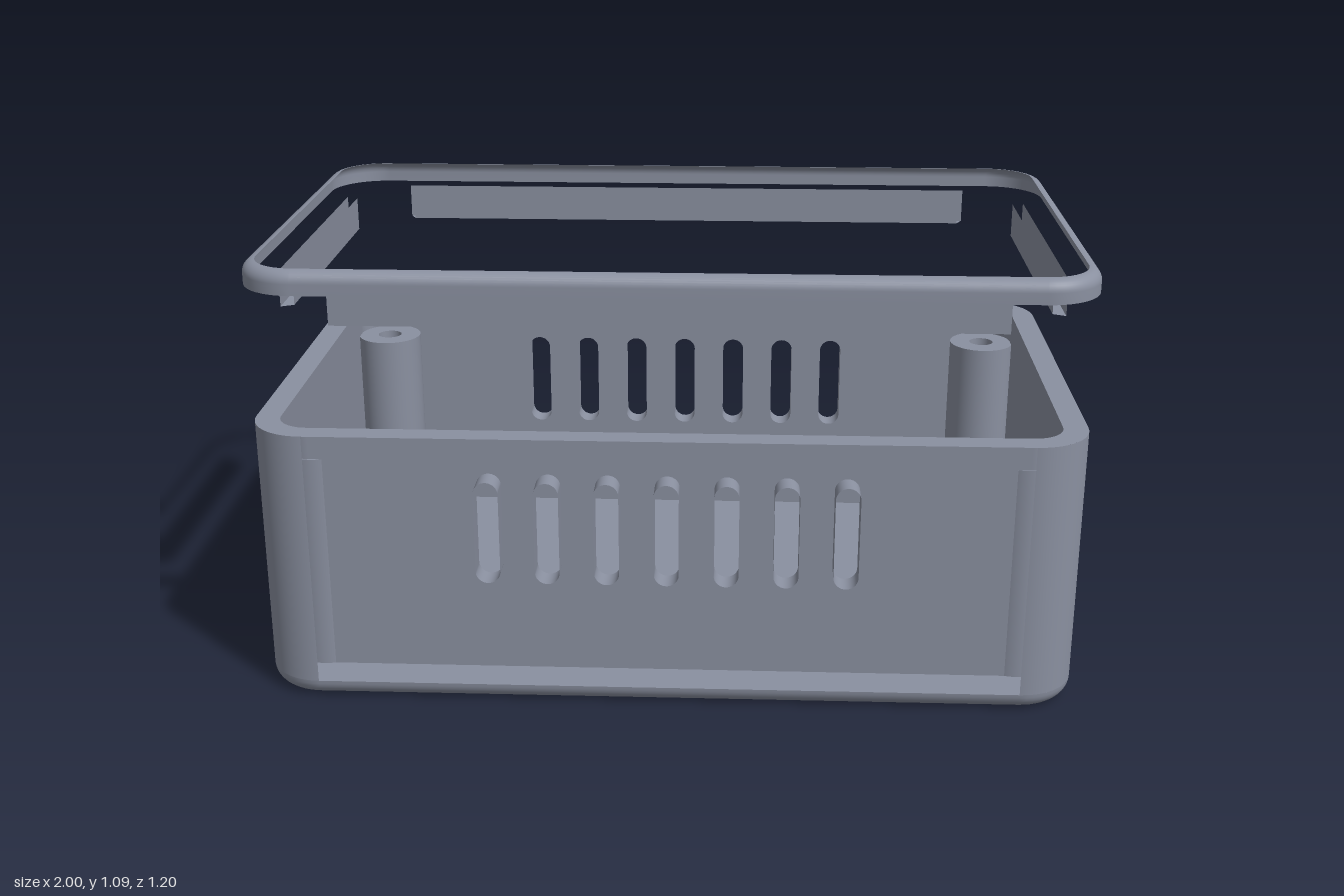
import * as THREE from 'three';

const W = 1, D = 0.6, H = 0.69;        // half width, half depth, height of the tray
const R = 0.14, T = 0.06;              // corner radius, wall thickness
const FILLET = 0.045, FLOOR = 0.065;
const LID_LOW = 1.033, LID_TOP = 1.09, LID_FILLET = 0.03;

const mat = new THREE.MeshStandardMaterial({ color: 0x8a90a0, side: THREE.DoubleSide });
mat.name = 'slate grey';

function add(parent, name, geo) {
  const mesh = new THREE.Mesh(geo, mat);
  mesh.name = name;
  parent.add(mesh);
  return mesh;
}

// Surface through rows of points
function skin(rows, closed, flat = false) {
  const n = rows[0].length, index = [];
  for (let i = 0; i < rows.length - 1; i++) {
    for (let j = 0; j < (closed ? n : n - 1); j++) {
      const k = (j + 1) % n, a = i * n + j, b = i * n + k;
      index.push(a, b, b + n, a, b + n, a + n);
    }
  }
  let g = new THREE.BufferGeometry();
  g.setAttribute('position', new THREE.Float32BufferAttribute(rows.flat(2), 3));
  g.setIndex(index);
  if (flat) g = g.toNonIndexed();
  g.computeVertexNormals();
  return g;
}

// Points of the rounded footprint, pulled in by an inset
function footprint(inset) {
  const pts = [], r = R - inset;
  [[1, 1], [-1, 1], [-1, -1], [1, -1]].forEach(([sx, sz], q) => {
    for (let i = 0; i <= 12; i++) {
      const a = (q + i / 12) * Math.PI / 2;
      pts.push([sx * (W - R) + r * Math.cos(a), sz * (D - R) + r * Math.sin(a)]);
    }
  });
  return pts;
}
const ring = (inset, y) => footprint(inset).map(([x, z]) => [x, y, z]);
const vectors = (inset) => footprint(inset).map(([x, z]) => new THREE.Vector2(x, z));

// Flat horizontal face in the footprint's outline
function flatFace(inset, y, holeInset) {
  const s = new THREE.Shape(vectors(inset));
  if (holeInset) s.holes.push(new THREE.Path(vectors(holeInset)));
  return new THREE.ShapeGeometry(s).rotateX(-Math.PI / 2).translate(0, y, 0);
}

// Closed outline of an oblong or round opening, w wide and h high
function opening(cx, cy, w, h) {
  const r = Math.min(w, h) / 2, dx = w / 2 - r, dy = h / 2 - r, pts = [];
  for (let i = 0; i < 32; i++) {
    const a = (i + 0.5) / 32 * Math.PI * 2, c = Math.cos(a), s = Math.sin(a);
    pts.push(new THREE.Vector2(cx + r * c + Math.sign(c) * dx, cy + r * s + Math.sign(s) * dy));
  }
  return pts;
}

function wallFace(half, low, holes) {
  const s = new THREE.Shape();
  s.moveTo(-half, low).lineTo(half, low).lineTo(half, H).lineTo(-half, H).closePath();
  holes.forEach((p) => s.holes.push(new THREE.Path(p)));
  return new THREE.ShapeGeometry(s, 8);
}

function buildTray() {
  const tray = new THREE.Group();
  tray.name = 'tray';

  const slots = [];
  for (let i = -3; i <= 3; i++) slots.push(opening(i * 0.143, 0.45, 0.06, 0.26));
  const port = [opening(-0.04, 0.25, 0.31, 0.17), opening(-0.265, 0.25, 0.09, 0.09), opening(0.185, 0.25, 0.09, 0.09)];

  // Walls: an outer and an inner face, joined by the sides of the openings;
  // the front is open outside and shows its inner face
  const walls = [
    { name: 'frontWall', half: W - R, dist: D, turn: 0, holes: slots, open: true },
    { name: 'backWall', half: W - R, dist: D, turn: Math.PI, holes: slots },
    { name: 'rightWall', half: D - R, dist: W, turn: Math.PI / 2, holes: [] },
    { name: 'portWall', half: D - R, dist: W, turn: -Math.PI / 2, holes: port },
  ];
  for (const w of walls) {
    const g = new THREE.Group();
    g.name = w.name;
    g.rotation.y = w.turn;
    if (!w.open) add(g, 'outerFace', wallFace(w.half, FILLET, w.holes).translate(0, 0, w.dist));
    add(g, 'innerFace', wallFace(w.half, FLOOR, w.holes).translate(0, 0, w.dist - T));
    for (const h of w.holes) {
      const rows = [w.dist, w.dist - T].map((z) => h.map((p) => [p.x, p.y, z]));
      add(g, 'openingSide', skin(rows, true));
    }
    tray.add(g);
  }

  // Rounded corners, outside and inside
  [[1, 1], [1, -1], [-1, -1], [-1, 1]].forEach(([sx, sz], q) => {
    for (const [name, r, low] of [['outerCorner', R, FILLET], ['innerCorner', R - T, FLOOR]]) {
      const g = new THREE.CylinderGeometry(r, r, H - low, 14, 1, true, q * Math.PI / 2, Math.PI / 2);
      add(tray, name, g.translate(sx * (W - R), (H + low) / 2, sz * (D - R)));
    }
  });

  // Base with rounded lower edge, floor and top rim
  const rows = [];
  for (let i = 0; i <= 8; i++) {
    const a = i / 8 * Math.PI / 2;
    rows.push(ring(FILLET * (1 - Math.cos(a)), FILLET * (1 - Math.sin(a))));
  }
  add(tray, 'baseEdge', skin(rows, true));
  add(tray, 'base', flatFace(FILLET, 0).scale(1, -1, 1));
  add(tray, 'floor', flatFace(T, FLOOR));
  add(tray, 'rim', flatFace(0, H, T));
  return tray;
}

// Round post, with a screw hole unless solid
function post(parent, name, x, z, top, solid) {
  const r = 0.088, hole = 0.033;
  const parts = [[[r, FLOOR], [r, top]], [[r, top], [solid ? 0 : hole, top]]];
  if (!solid) parts.push([[hole, top], [hole, FLOOR + 0.002]]);
  const g = new THREE.Group();
  g.name = name;
  g.position.set(x, 0, z);
  for (const p of parts) {
    add(g, 'postSurface', new THREE.LatheGeometry(p.map(([a, b]) => new THREE.Vector2(a, b)), 32));
  }
  parent.add(g);
}

function buildLid() {
  const lid = new THREE.Group();
  lid.name = 'lid';
  // Open frame with rounded upper edge
  const rows = [ring(0, LID_LOW)];
  for (let i = 0; i <= 8; i++) {
    const a = i / 8 * Math.PI / 2;
    rows.push(ring(LID_FILLET * (1 - Math.cos(a)), LID_TOP - LID_FILLET * (1 - Math.sin(a))));
  }
  add(lid, 'lidFrame', skin(rows, true));

  // Locating lips: hollow strips with open ends
  for (const [half, dist, turn] of [[0.79, D, 0], [0.79, D, Math.PI], [0.39, W, Math.PI / 2], [0.39, W, -Math.PI / 2]]) {
    const outer = dist - T, inner = outer - 0.03, low = 0.945, short = half - 0.015;
    const profile = [[half, LID_LOW, outer], [half, low, outer], [short, low, inner], [short, LID_LOW, inner]];
    const lip = profile.map(([h, y, z]) => [[-h, y, z], [h, y, z]]);
    add(lid, 'lip', skin(lip, false, true)).rotation.y = turn;
  }
  return lid;
}

export function createModel() {
  const model = new THREE.Group();
  model.name = 'enclosure';
  const tray = buildTray();
  for (const sx of [-1, 1]) {
    for (const sz of [-1, 1]) {
      post(tray, 'cornerPost', sx * 0.857, sz * 0.457, 0.61, false);
      post(tray, 'standoff', sx * 0.7, sz * 0.315, 0.21, sx < 0 && sz < 0);
    }
  }
  model.add(tray, buildLid());
  return model;
}
